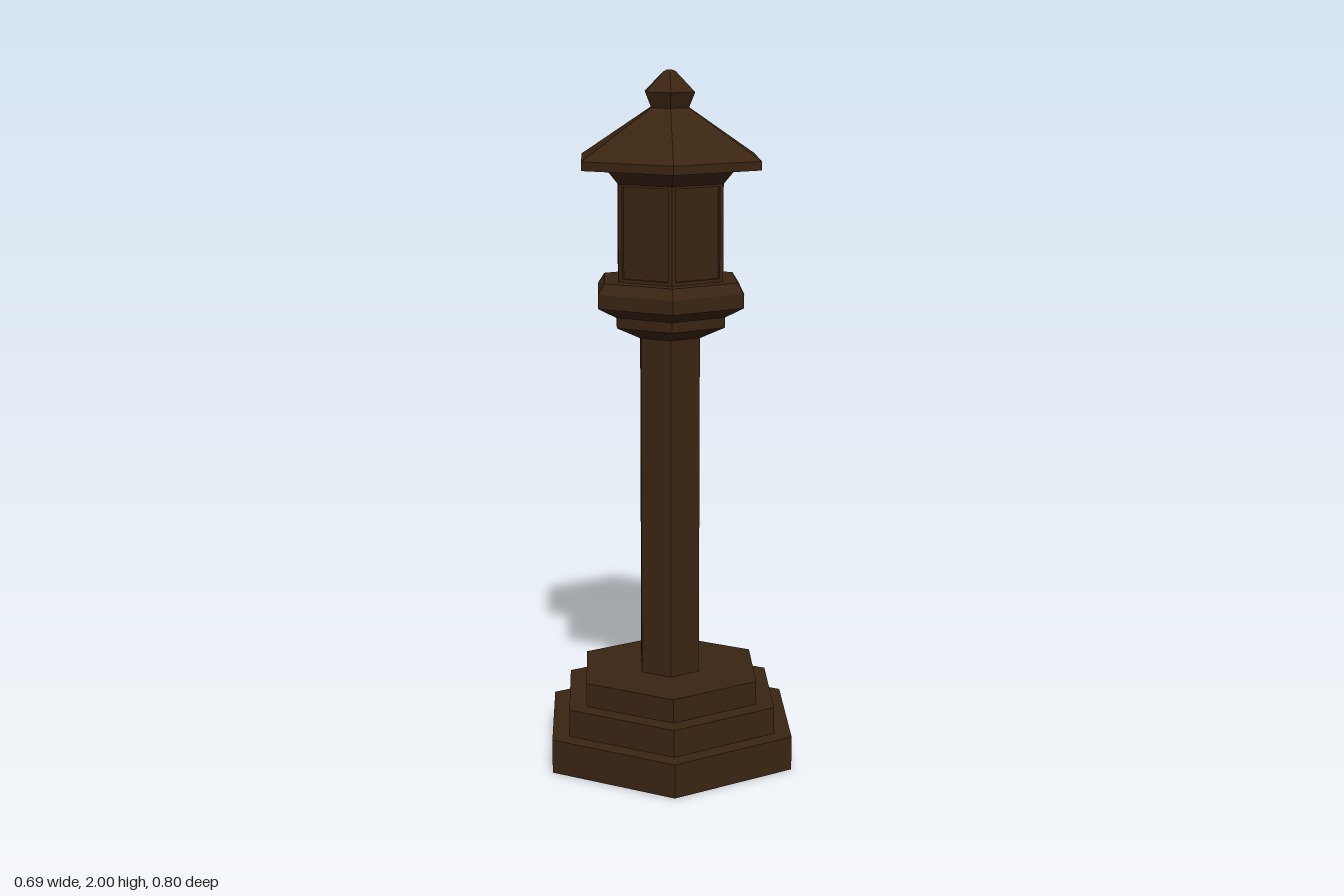
import * as THREE from 'three';

const material = new THREE.MeshStandardMaterial({ color: 0x3a2412, flatShading: true });

// Six-sided turned part: [corner radius, height] pairs from bottom to top
function hexPart(name, profile) {
  const points = profile.map(([r, y]) => new THREE.Vector2(r, y));
  const mesh = new THREE.Mesh(new THREE.LatheGeometry(points, 6), material);
  mesh.name = name;
  return mesh;
}

// Rectangle path for frame outlines
function rectangle(path, w, y0, y1) {
  path.moveTo(-w, y0);
  path.lineTo(w, y0);
  path.lineTo(w, y1);
  path.lineTo(-w, y1);
  path.closePath();
  return path;
}

export function createModel() {
  const model = new THREE.Group();
  model.name = 'lanternPost';

  // Stepped base
  const steps = [[0.4, 0, 0.1], [0.343, 0.1, 0.18], [0.285, 0.18, 0.25]];
  steps.forEach(([r, y0, y1], i) => {
    model.add(hexPart(`baseStep${i + 1}`, [[0, y0], [r, y0], [r, y1], [0, y1]]));
  });

  // Post and the platform carrying the lantern
  model.add(hexPart('post', [[0.097, 0.25], [0.097, 1.25]]));
  model.add(hexPart('collar', [[0, 1.25], [0.1, 1.25], [0.176, 1.285], [0.176, 1.315], [0, 1.315]]));
  model.add(hexPart('platform', [
    [0, 1.315], [0.178, 1.315], [0.236, 1.345], [0.236, 1.385], [0.215, 1.415], [0, 1.415],
  ]));

  // Lantern chamber with a raised frame on every side
  const radius = 0.17, bottom = 1.41, top = 1.695, depth = 0.01;
  const apothem = radius * Math.cos(Math.PI / 6);
  model.add(hexPart('lanternPanels', [[radius - 0.011, bottom], [radius - 0.011, top]]));

  const frameShape = rectangle(new THREE.Shape(), radius / 2, bottom, top);
  frameShape.holes.push(rectangle(new THREE.Path(), radius / 2 - 0.012, bottom + 0.015, top - 0.012));
  const frameGeometry = new THREE.ExtrudeGeometry(frameShape, { depth, bevelEnabled: false });
  frameGeometry.translate(0, 0, apothem - depth);
  const frames = new THREE.Group();
  frames.name = 'lanternFrames';
  for (let i = 0; i < 6; i++) {
    const frame = new THREE.Mesh(frameGeometry, material);
    frame.name = `lanternFrame${i + 1}`;
    frame.rotation.y = Math.PI / 6 + (i * Math.PI) / 3;
    frames.add(frame);
  }
  model.add(frames);

  // Flared cornice, roof and finial
  model.add(hexPart('cornice', [[0, 1.69], [0.17, 1.69], [0.207, 1.732]]));
  model.add(hexPart('roof', [[0, 1.732], [0.287, 1.732], [0.287, 1.757], [0.055, 1.9], [0, 1.9]]));
  model.add(hexPart('finial', [
    [0, 1.89], [0.058, 1.89], [0.08, 1.94], [0.02, 1.995], [0.008, 2], [0, 2],
  ]));

  return model;
}
